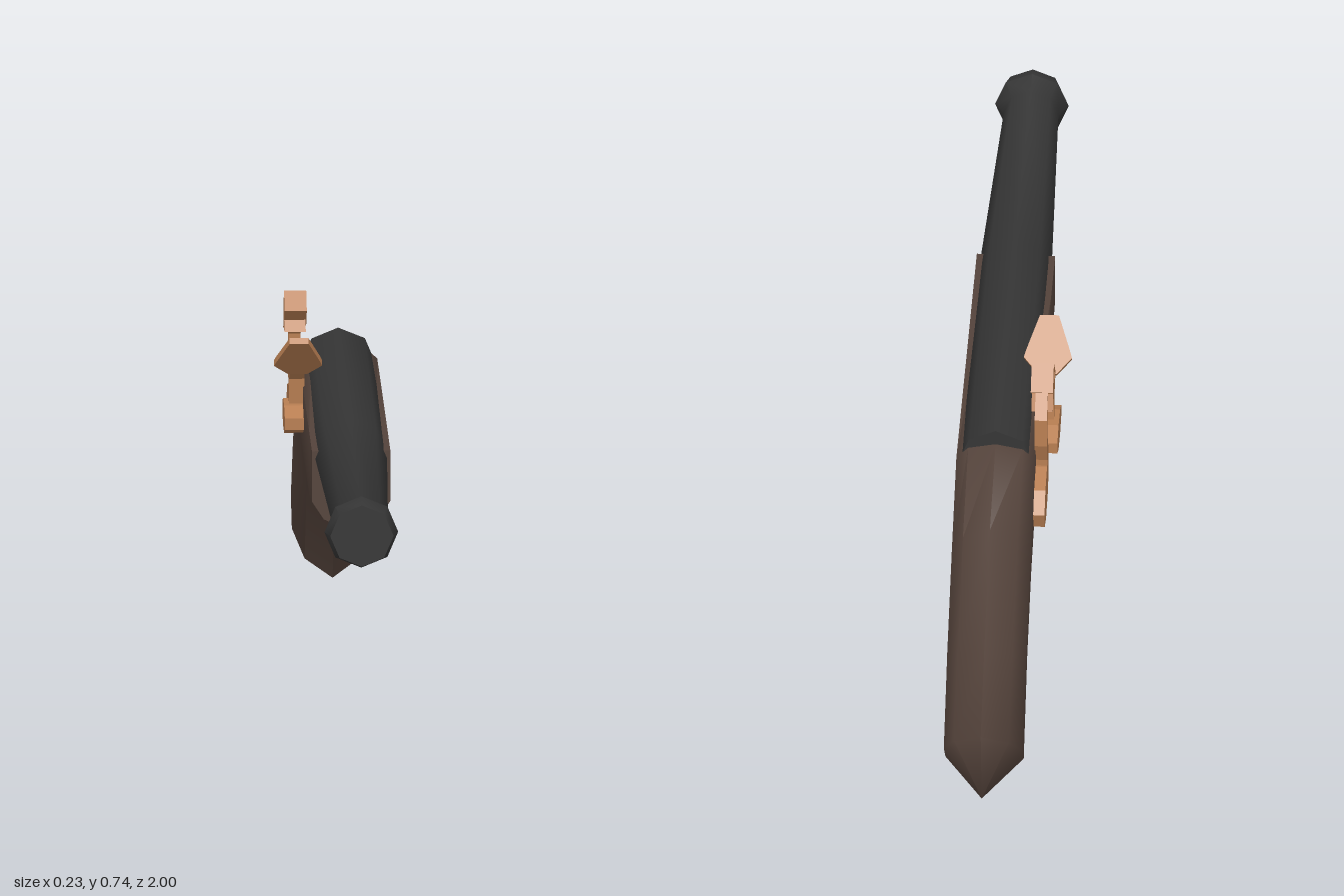
import * as THREE from 'three';
import { toCreasedNormals } from 'three/addons/utils/BufferGeometryUtils.js';

const CX = 0.031; // centre line of barrel and stock

const material = (name, color) => {
  const m = new THREE.MeshStandardMaterial({ color });
  m.name = name;
  return m;
};

// Octagonal barrel with a flared muzzle ring
function barrelGeometry() {
  const profile = [[0, -0.43], [0.08, -0.43], [0.077, 0.32], [0.058, 0.93], [0.078, 0.965], [0.067, 1], [0, 1]];
  const g = new THREE.LatheGeometry(profile.map(([r, z]) => new THREE.Vector2(r, z)), 8);
  g.rotateX(Math.PI / 2).translate(CX, 0.558, 0);
  return toCreasedNormals(g, 0.95);
}

// Stock lofted through rounded rings, each running from an underside point to a top point
function stockGeometry() {
  // bottom z, bottom y, top z, top y, fractions of the upper shoulder and upper side
  const rings = [
    [0.355, 0.40, 0.355, 0.575, 0.999, 0.998],
    [0.19, 0.355, 0.19, 0.575, 0.999, 0.998],
    [-0.43, 0.33, -0.43, 0.605, 0.96, 0.87],
    [-0.52, 0.28, -0.65, 0.53, 0.87, 0.66],
    [-0.63, 0.20, -0.87, 0.36, 0.854, 0.63],
    [-0.765, 0.003, -1, 0.235, 0.854, 0.62],
  ];
  const N = 10, pos = [], idx = [];
  for (const [bz, by, tz, ty, shoulder, side] of rings) {
    const half = [[0, 0], [0.058, 0.146], [0.083, 0.37], [0.083, side], [0.058, shoulder], [0, 1]];
    const loop = [...half, ...half.slice(1, 5).reverse().map(([x, f]) => [-x, f])];
    for (const [x, f] of loop) pos.push(CX + x, by + (ty - by) * f, bz + (tz - bz) * f);
  }
  const last = rings.length - 1, front = rings.length * N, butt = front + 1;
  pos.push(CX, 0.49, 0.355, CX, 0.055, -0.96);
  for (let j = 0; j < N; j++) {
    const k = (j + 1) % N;
    for (let i = 0; i < last; i++) {
      const a = i * N + j, b = i * N + k, c = a + N, d = b + N;
      idx.push(a, c, b, b, c, d);
    }
    idx.push(front, j, k, butt, last * N + k, last * N + j);
  }
  const g = new THREE.BufferGeometry();
  g.setAttribute('position', new THREE.Float32BufferAttribute(pos, 3));
  g.setIndex(idx);
  return toCreasedNormals(g, 0.95);
}

const shapeOf = (pts) => new THREE.Shape(pts.map(([a, b]) => new THREE.Vector2(a, b)));

// Side profile of [z, y] points, extruded between x0 and x1
function sidePart(pts, x0, x1) {
  return new THREE.ExtrudeGeometry(shapeOf(pts), { depth: x1 - x0, bevelEnabled: false })
    .rotateY(-Math.PI / 2).translate(x1, 0, 0);
}

// Stretched octagon outline in the side plane
function oval(z, y, rz, ry, tilt) {
  return Array.from({ length: 8 }, (_, i) => {
    const a = (i + 0.5) * Math.PI / 4;
    const u = rz * Math.cos(a) / Math.cos(Math.PI / 8), v = ry * Math.sin(a) / Math.cos(Math.PI / 8);
    return [z + u * Math.cos(tilt) - v * Math.sin(tilt), y + u * Math.sin(tilt) + v * Math.cos(tilt)];
  });
}

// Slanted six-sided striking plate
function frizzenGeometry() {
  const outline = [[-0.02, 0], [0.02, 0], [0.051, 0.035], [0.046, 0.052], [0.02, 0.127], [-0.02, 0.127], [-0.046, 0.052], [-0.051, 0.035]];
  return new THREE.ExtrudeGeometry(shapeOf(outline), { depth: 0.014, bevelEnabled: false })
    .translate(0, 0, -0.007).rotateX(Math.PI / 4).translate(-0.064, 0.613, -0.165);
}

export function createModel() {
  const model = new THREE.Group();
  model.name = 'flintlockPistol';
  const iron = material('dark iron', 0x353535);
  const wood = material('dark wood', 0x54433b);
  const copper = material('copper', 0xb87e52);
  const add = (name, geometry, mat, parent = model) => {
    const m = new THREE.Mesh(geometry, mat);
    m.name = name;
    parent.add(m);
  };

  add('barrel', barrelGeometry(), iron);
  add('stock', stockGeometry(), wood);

  // Firing mechanism on the right flank
  const lock = new THREE.Group();
  lock.name = 'lock';
  model.add(lock);
  add('lockPlate', sidePart(oval(-0.41, 0.475, 0.08, 0.045, 0.3), -0.076, -0.045), copper, lock);
  add('pan', sidePart(oval(-0.21, 0.505, 0.075, 0.03, 0), -0.092, -0.045), copper, lock);
  add('frizzenPlate', frizzenGeometry(), copper, lock);
  add('frizzenArm', sidePart([[-0.155, 0.618], [-0.168, 0.628], [-0.21, 0.605], [-0.222, 0.51], [-0.195, 0.5], [-0.19, 0.59]],
    -0.081, -0.049), copper, lock);
  add('hammerArm', sidePart([[-0.335, 0.5], [-0.345, 0.55], [-0.375, 0.595], [-0.375, 0.64], [-0.335, 0.69],
    [-0.355, 0.702], [-0.4, 0.648], [-0.402, 0.585], [-0.385, 0.54], [-0.385, 0.49]], -0.076, -0.05), copper, lock);
  add('lowerJaw', sidePart([[-0.295, 0.665], [-0.32, 0.692], [-0.36, 0.69], [-0.375, 0.655], [-0.335, 0.662]],
    -0.087, -0.042), copper, lock);
  add('upperJaw', sidePart([[-0.29, 0.712], [-0.328, 0.747], [-0.368, 0.698], [-0.33, 0.67]],
    -0.087, -0.04), copper, lock);
  return model;
}
